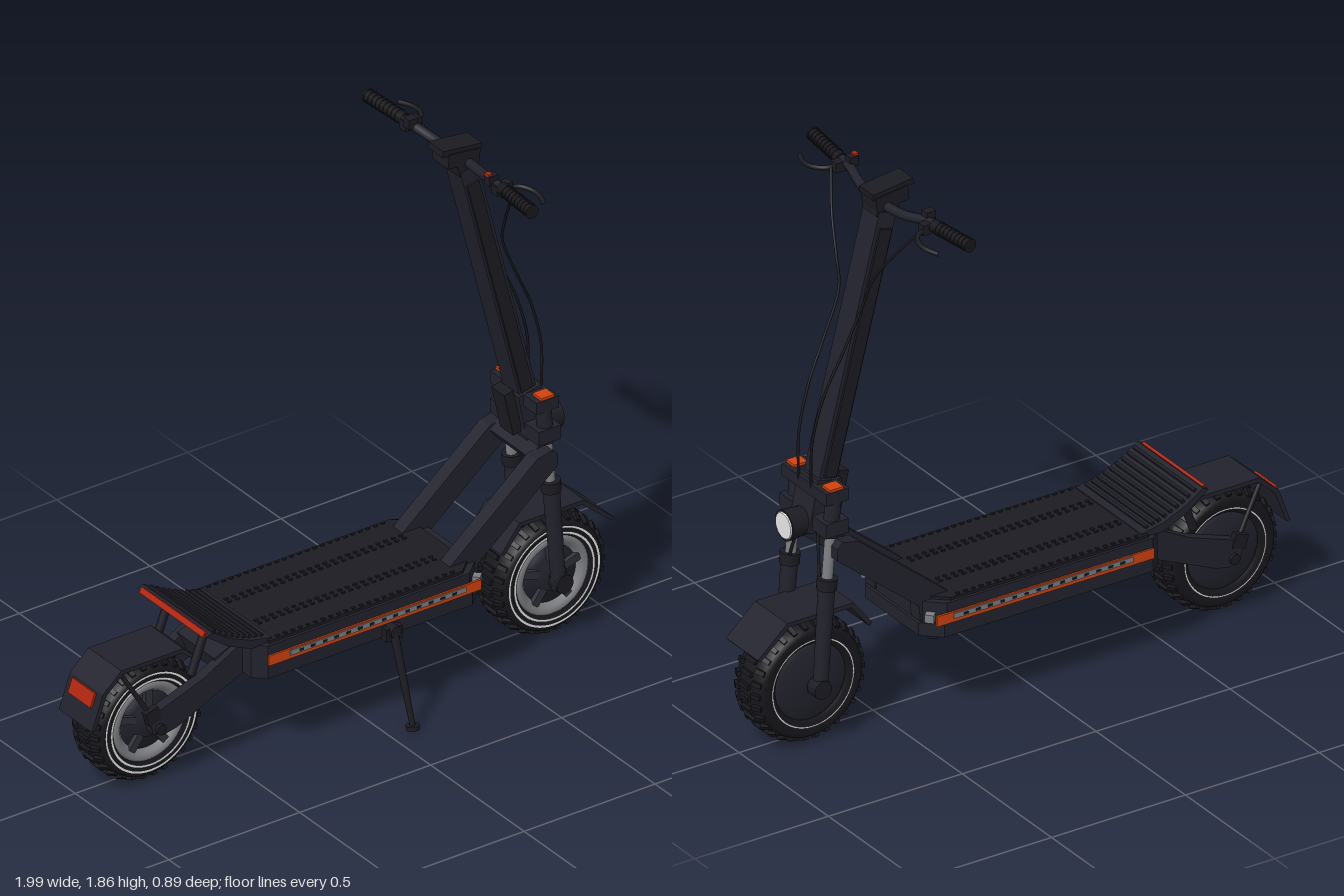
import * as THREE from 'three';
import { mergeGeometries } from 'three/addons/utils/BufferGeometryUtils.js';

const mat = (name, color) => Object.assign(new THREE.MeshStandardMaterial({ color }), { name });
const V = (x, y, z) => new THREE.Vector3(x, y, z);

export function createModel() {
  const root = new THREE.Group();
  root.name = 'electricScooter';
  const body = mat('dark navy frame', 0x22222d);
  const rubber = mat('black rubber', 0x17171c);
  const black = mat('black plastic', 0x1b1b22);
  const orange = mat('orange trim', 0xd2420e);
  const red = mat('red reflector', 0xb3260f);
  const grey = mat('grey metal', 0x7c7e82);
  const slate = mat('slate hub', 0x30313a);
  const white = mat('white lens', 0xe8e8e8);

  const add = (name, geo, m, parent = root) => {
    const mesh = new THREE.Mesh(geo, m);
    mesh.name = name;
    parent.add(mesh);
    return mesh;
  };
  const box = (name, m, x, y, z, w, h, d, tilt = 0) => {
    const b = add(name, new THREE.BoxGeometry(w, h, d), m);
    b.position.set(x, y, z);
    b.rotation.z = tilt;
    return b;
  };
  const rod = (name, m, a, b, r, r2 = r, sides = 16) => {
    const c = add(name, new THREE.CylinderGeometry(r2, r, a.distanceTo(b), sides), m);
    c.position.copy(a).lerp(b, 0.5);
    c.quaternion.setFromUnitVectors(V(0, 1, 0), b.clone().sub(a).normalize());
    return c;
  };
  const tube = (name, m, pts, r, seg = 32) =>
    add(name, new THREE.TubeGeometry(new THREE.CatmullRomCurve3(pts.map(p => V(...p))), seg, r, 8), m);
  const shape = pts => new THREE.Shape(pts.map(p => new THREE.Vector2(...p)));
  // side profile swept across z
  const side = (name, m, pts, z0, z1) => {
    const g = new THREE.ExtrudeGeometry(shape(pts), { depth: z1 - z0, bevelEnabled: false });
    return add(name, g.translate(0, 0, z0), m);
  };
  // plan outline raised in y
  const plan = (name, m, pts, y0, y1) => {
    const g = new THREE.ExtrudeGeometry(shape(pts), { depth: y1 - y0, bevelEnabled: false });
    return add(name, g.rotateX(-Math.PI / 2).translate(0, y0, 0), m);
  };

  // Wheels
  function wheel(name, x, y) {
    const g = new THREE.Group();
    g.name = name;
    g.position.set(x, y, 0);
    root.add(g);
    const profile = [[0.125, -0.055], [0.14, -0.068], [0.175, -0.076], [0.19, -0.066], [0.2, -0.035], [0.202, 0],
      [0.2, 0.035], [0.19, 0.066], [0.175, 0.076], [0.14, 0.068], [0.125, 0.055]];
    const lathe = pts => new THREE.LatheGeometry(pts.map(p => new THREE.Vector2(...p)), 56).rotateX(Math.PI / 2);
    add('tyre', lathe(profile), rubber, g);
    const knobs = [];
    for (let i = 0; i < 30; i++) {
      for (const [z, r, off, w] of [[0, 0.202, 0, 0.05], [0.05, 0.196, 0.5, 0.034], [-0.05, 0.196, 0.5, 0.034]]) {
        const k = new THREE.BoxGeometry(0.016, 0.026, w);
        k.rotateX(z * 9).translate(0, r, z).rotateZ((i + off) * Math.PI / 15);
        k.scale(0.985, 0.985, 1);
        knobs.push(k);
      }
    }
    add('treadKnobs', mergeGeometries(knobs), rubber, g);
    // painted sidewall lines
    for (const [s, r0, r1] of [[1, 0.167, 0.174], [1, 0.146, 0.155], [-1, 0.148, 0.154]]) {
      const r = add('sidewallLine', new THREE.RingGeometry(r0, r1, 56), white, g);
      r.position.z = s * 0.0772;
      if (s < 0) r.rotation.y = Math.PI;
    }
    add('rimRing', lathe([[0.1, 0.03], [0.136, 0.03], [0.138, 0.066], [0.128, 0.074], [0.112, 0.066], [0.1, 0.05]]), grey, g);
    add('hubMotor', lathe([[0, -0.08], [0.05, -0.08], [0.12, -0.07], [0.136, -0.056], [0.132, 0.045], [0.06, 0.05], [0.05, 0.072], [0, 0.072]]), body, g);
    for (let i = 0; i < 5; i++) {
      const s = add('hubSpoke', new THREE.BoxGeometry(0.026, 0.09, 0.02).translate(0, 0.07, 0.055), slate, g);
      s.rotation.z = i * Math.PI * 0.4;
    }
    add('axle', new THREE.CylinderGeometry(0.018, 0.018, 0.27, 16).rotateX(Math.PI / 2), black, g);
  }
  wheel('rearWheel', -0.765, 0.212);
  wheel('frontWheel', 0.775, 0.212);

  // Deck
  plan('deckBody', body, [[-0.45, -0.17], [-0.41, -0.205], [0.37, -0.205], [0.43, -0.15], [0.43, 0.15], [0.37, 0.205], [-0.41, 0.205], [-0.45, 0.17]], 0.31, 0.355);
  plan('deckTop', body, [[-0.45, -0.17], [-0.41, -0.205], [0.36, -0.205], [0.42, -0.15], [0.42, 0.15], [0.36, 0.205], [-0.41, 0.205], [-0.45, 0.17]], 0.355, 0.428);
  plan('deckMat', black, [[-0.4, -0.195], [0.34, -0.195], [0.39, -0.15], [0.39, 0.15], [0.34, 0.195], [-0.4, 0.195]], 0.428, 0.438);
  const dots = [];
  for (let i = 0; i < 24; i++) for (const z of [-0.185, -0.09, -0.07, 0.07, 0.09, 0.185])
    dots.push(new THREE.BoxGeometry(0.012, 0.006, 0.008).translate(-0.36 + i * 0.029, 0.44, z));
  add('gripDots', mergeGeometries(dots), black);
  for (const s of [1, -1]) {
    box('sideStrip', orange, -0.005, 0.376, s * 0.207, 0.81, 0.036, 0.008);
    box('sideLightBar', grey, 0.005, 0.38, s * 0.2125, 0.67, 0.018, 0.005);
    for (let i = 0; i < 14; i++) box('sideLightSlot', black, -0.29 + i * 0.045, 0.38, s * 0.2155, 0.016, 0.008, 0.003);
    const lamp = box('frontDeckLamp', grey, 0.405, 0.38, s * 0.178, 0.03, 0.028, 0.03);
    lamp.rotation.y = s * 0.8;
  }

  // Kick plate behind the deck
  side('kickPlate', body, [[-0.38, 0.425], [-0.38, 0.441], [-0.46, 0.456], [-0.54, 0.49], [-0.61, 0.535], [-0.63, 0.525], [-0.55, 0.465], [-0.46, 0.425]], -0.185, 0.185);
  for (let i = 0; i < 9; i++) {
    const t = i / 8;
    box('kickPlateRib', black, -0.41 - 0.18 * t, 0.449 + 0.045 * t + 0.031 * t * t, 0, 0.011, 0.012, 0.34, -0.4);
  }
  box('kickPlateEdge', red, -0.624, 0.524, 0, 0.014, 0.02, 0.34, -0.5);
  for (const s of [1, -1]) {
    rod('kickPlateStrut', black, V(-0.575, 0.495, s * 0.1), V(-0.63, 0.35, s * 0.1), 0.014);
    // Rear swing arm
    const z = s * 0.105;
    side('swingArm', body, [[-0.79, 0.2], [-0.75, 0.185], [-0.7, 0.195], [-0.43, 0.315], [-0.43, 0.405], [-0.47, 0.405], [-0.6, 0.335], [-0.77, 0.275], [-0.8, 0.24]], z - 0.018, z + 0.018);
    box('axlePlate', black, -0.79, 0.265, s * 0.115, 0.05, 0.05, 0.022, 0.3);
    rod('fenderStay', black, V(-0.885, 0.425, s * 0.088), V(-0.8, 0.28, s * 0.105), 0.008);
  }
  box('swingArmBridge', body, -0.49, 0.36, 0, 0.08, 0.07, 0.2, 0.4);

  // Fenders
  side('rearFender', body, [[-1, 0.262], [-0.957, 0.382], [-0.887, 0.445], [-0.65, 0.445], [-0.6, 0.4], [-0.607, 0.39], [-0.655, 0.43], [-0.88, 0.43], [-0.943, 0.374], [-0.986, 0.262]], -0.088, 0.088);
  box('rearReflector', red, -0.974, 0.354, 0, 0.008, 0.05, 0.12, -0.345);
  side('frontFender', body, [[0.562, 0.37], [0.632, 0.46], [0.88, 0.46], [0.99, 0.362], [0.981, 0.352], [0.872, 0.445], [0.641, 0.445], [0.574, 0.36]], -0.09, 0.09);

  // Neck beams, fork and crowns
  for (const s of [1, -1]) {
    const z = s * 0.127;
    side('neckBeam', body, [[0.31, 0.428], [0.34, 0.36], [0.425, 0.36], [0.43, 0.415], [0.735, 0.665], [0.735, 0.705], [0.715, 0.725], [0.655, 0.712]], z - 0.026, z + 0.026);
    rod('forkStanchion', grey, V(0.742, 0.55, s * 0.102), V(0.725, 0.76, s * 0.102), 0.018);
    rod('forkLowerLeg', body, V(0.77, 0.19, s * 0.108), V(0.742, 0.57, s * 0.104), 0.024, 0.028);
    rod('forkCollar', black, V(0.743, 0.55, s * 0.104), V(0.74, 0.588, s * 0.104), 0.033);
    rod('forkFoot', black, V(0.775, 0.212, s * 0.09), V(0.775, 0.212, s * 0.135), 0.032);
    rod('forkUpperTube', body, V(0.727, 0.73, s * 0.1), V(0.712, 0.885, s * 0.1), 0.026);
    box('forkCap', orange, 0.717, 0.899, s * 0.1, 0.05, 0.009, 0.046);
    rod('lowerCable', rubber, V(0.74, 0.72, s * 0.05), V(0.76, 0.56, s * 0.09), 0.005, 0.005, 8);
  }
  box('upperCrown', body, 0.715, 0.873, 0, 0.085, 0.042, 0.25);
  box('lowerCrown', body, 0.72, 0.765, 0, 0.085, 0.05, 0.26);
  box('headTube', body, 0.715, 0.81, 0, 0.09, 0.18, 0.11, 0.2);
  box('foldingLatch', black, 0.648, 0.825, 0, 0.035, 0.16, 0.07, 0.22);
  box('beamBridge', body, 0.69, 0.7, 0, 0.06, 0.04, 0.22, 0.6);

  // Headlight
  rod('headlight', black, V(0.75, 0.752, 0), V(0.832, 0.752, 0), 0.045, 0.052, 24);
  rod('headlightLens', white, V(0.831, 0.752, 0), V(0.836, 0.752, 0), 0.046, 0.043, 24);

  // Stem
  box('stem', body, 0.588, 1.32, 0, 0.066, 0.93, 0.086, 0.25);
  box('stemSides', black, 0.588, 1.31, 0, 0.045, 0.84, 0.102, 0.25);
  box('stemTop', black, 0.47, 1.785, 0, 0.075, 0.06, 0.08, 0.25);
  box('stemHeadClamp', black, 0.455, 1.812, 0, 0.12, 0.05, 0.086, -0.12);
  box('display', black, 0.45, 1.842, 0, 0.15, 0.022, 0.08, -0.12);

  // Handlebar, grips, levers and cables
  tube('handlebar', body, [[0.44, 1.815, -0.3], [0.445, 1.812, -0.22], [0.466, 1.795, -0.12], [0.475, 1.79, 0], [0.466, 1.795, 0.12], [0.445, 1.812, 0.22], [0.44, 1.815, 0.3]], 0.016);
  for (const s of [1, -1]) {
    rod('grip', rubber, V(0.445, 1.813, s * 0.26), V(0.43, 1.819, s * 0.44), 0.021);
    for (let i = 0; i < 9; i++) {
      const t = i / 8, c = V(0.443 - 0.012 * t, 1.8135 + 0.005 * t, s * (0.285 + 0.148 * t));
      rod('gripRing', rubber, c, V(c.x - 0.0006, c.y, c.z + s * 0.008), 0.0235);
    }
    box('leverClamp', black, 0.455, 1.805, s * 0.245, 0.06, 0.034, 0.032);
    tube('brakeLever', black, [[0.46, 1.803, s * 0.25], [0.505, 1.8, s * 0.262], [0.53, 1.796, s * 0.3], [0.532, 1.793, s * 0.34], [0.514, 1.79, s * 0.39]], 0.008, 16);
    box('switchPod', black, 0.435, 1.828, s * 0.215, 0.034, 0.034, 0.03);
    tube('brakeCable', rubber, [[0.49, 1.8, s * 0.25], [0.54, 1.69, s * 0.17], [0.57, 1.58, s * 0.1], [0.582, 1.49, s * 0.068], [0.65, 1.33, s * 0.055], [0.71, 1.2, s * 0.045], [0.752, 1.04, s * 0.038], [0.755, 0.88, s * 0.035]], 0.0045, 48);
  }
  box('switchButton', red, 0.425, 1.848, 0.215, 0.016, 0.008, 0.02);

  // Kickstand
  box('kickstandMount', black, 0.055, 0.325, 0.205, 0.06, 0.045, 0.05);
  rod('kickstandPivot', black, V(0.055, 0.335, 0.2), V(0.055, 0.335, 0.24), 0.02);
  rod('kickstandLeg', black, V(0.078, 0.015, 0.296), V(0.055, 0.335, 0.225), 0.009, 0.015);
  rod('kickstandFoot', black, V(0.078, 0.006, 0.296), V(0.078, 0.02, 0.294), 0.022);
  return root;
}
